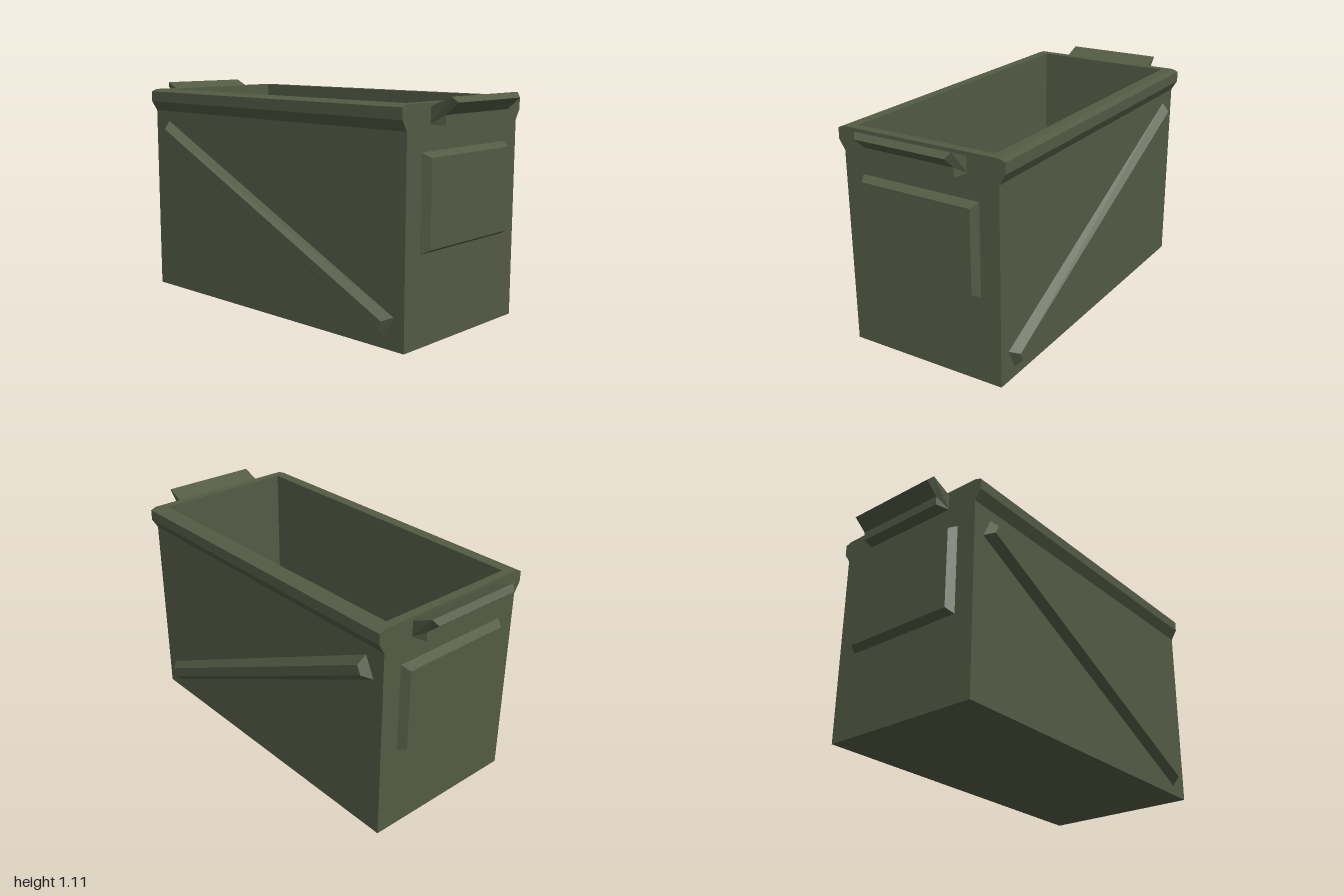
import * as THREE from 'three';

const olive = new THREE.MeshStandardMaterial({ color: 0x535b44, flatShading: true });
olive.name = 'olive drab paint';

const W = 0.87, D = 0.415, H = 1.08; // half width, half depth, height
const IW = 0.825, ID = 0.367, FLOOR = 0.05; // opening and inner floor

function part(name, geometry, parent) {
  const mesh = new THREE.Mesh(geometry, olive);
  mesh.name = name;
  parent.add(mesh);
  return mesh;
}

const rect = (C, w, h) => new C([[-w, -h], [w, -h], [w, h], [-w, h]].map(p => new THREE.Vector2(...p)));

// Raised plate on z = 0 whose outer face is smaller by an inset on each side
function bevelledPlate(w, h, depth, insetX, insetY) {
  const g = new THREE.BoxGeometry(w, h, depth).translate(0, 0, depth / 2);
  const p = g.attributes.position;
  for (let i = 0; i < p.count; i++) {
    if (p.getZ(i) > depth / 2) {
      p.setX(i, p.getX(i) - Math.sign(p.getX(i)) * insetX);
      p.setY(i, p.getY(i) - Math.sign(p.getY(i)) * insetY);
    }
  }
  g.computeVertexNormals();
  return g;
}

// Handle cross-section points: outward, up, half length
function handleGeometry() {
  const profile = [
    [0.865, 0.984, 0.255], [0.936, 0.984, 0.237], [0.936, 1.028, 0.237],
    [1.0, 1.083, 0.237], [0.975, 1.108, 0.255], [0.865, 1.06, 0.255],
  ];
  const n = profile.length;
  const pos = [], index = [];
  for (const s of [1, -1]) for (const [x, y, z] of profile) pos.push(x, y, s * z);
  for (let i = 0; i < n; i++) {
    const j = (i + 1) % n;
    index.push(i, i + n, j, j, i + n, j + n);
  }
  const caps = THREE.ShapeUtils.triangulateShape(profile.map(([x, y]) => new THREE.Vector2(x, y)), []);
  for (const [a, b, c] of caps) index.push(a, b, c, a + n, c + n, b + n);
  const g = new THREE.BufferGeometry();
  g.setAttribute('position', new THREE.Float32BufferAttribute(pos, 3));
  g.setIndex(index);
  const flat = g.toNonIndexed();
  flat.computeVertexNormals();
  return flat;
}

export function createModel() {
  const model = new THREE.Group();
  model.name = 'openMetalBox';

  // Four walls around the opening
  const outline = rect(THREE.Shape, W, D);
  outline.holes.push(rect(THREE.Path, IW, ID));
  const walls = new THREE.ExtrudeGeometry(outline, { depth: H, bevelEnabled: false });
  part('walls', walls.rotateX(-Math.PI / 2), model);

  // Floor inside and underside
  part('innerFloor', new THREE.PlaneGeometry(2 * IW, 2 * ID).rotateX(-Math.PI / 2), model).position.y = FLOOR;
  part('underside', new THREE.PlaneGeometry(2 * IW, 2 * ID).rotateX(Math.PI / 2), model);

  // Long sides: rim lip and diagonal rib
  const lip = new THREE.Shape([[D, 0.965], [0.446, 1.015], [0.446, 1.068], [D, H]]
    .map(p => new THREE.Vector2(...p)));
  const lipGeometry = new THREE.ExtrudeGeometry(lip, { depth: 2 * W, bevelEnabled: false })
    .translate(0, 0, -W).rotateY(-Math.PI / 2);
  const ribGeometry = bevelledPlate(1.746, 0.112, 0.04, 0.027, 0.032);
  for (const [name, turn, slope] of [['frontSide', 0, -0.45], ['backSide', Math.PI, 0.45]]) {
    const side = new THREE.Group();
    side.name = name;
    part('rimLip', lipGeometry, side);
    const rib = part('diagonalRib', ribGeometry, side);
    rib.position.set(0, 0.482, D);
    rib.rotation.z = slope;
    side.rotation.y = turn;
    model.add(side);
  }

  // Ends: raised panel and carrying handle
  const panelGeometry = bevelledPlate(0.628, 0.446, 0.04, 0.022, 0.022).rotateY(Math.PI / 2);
  const handle = handleGeometry();
  for (const [name, turn] of [['leftEnd', 0], ['rightEnd', Math.PI]]) {
    const end = new THREE.Group();
    end.name = name;
    part('raisedPanel', panelGeometry, end).position.set(W, 0.647, 0);
    part('handle', handle, end);
    end.rotation.y = turn;
    model.add(end);
  }
  return model;
}
